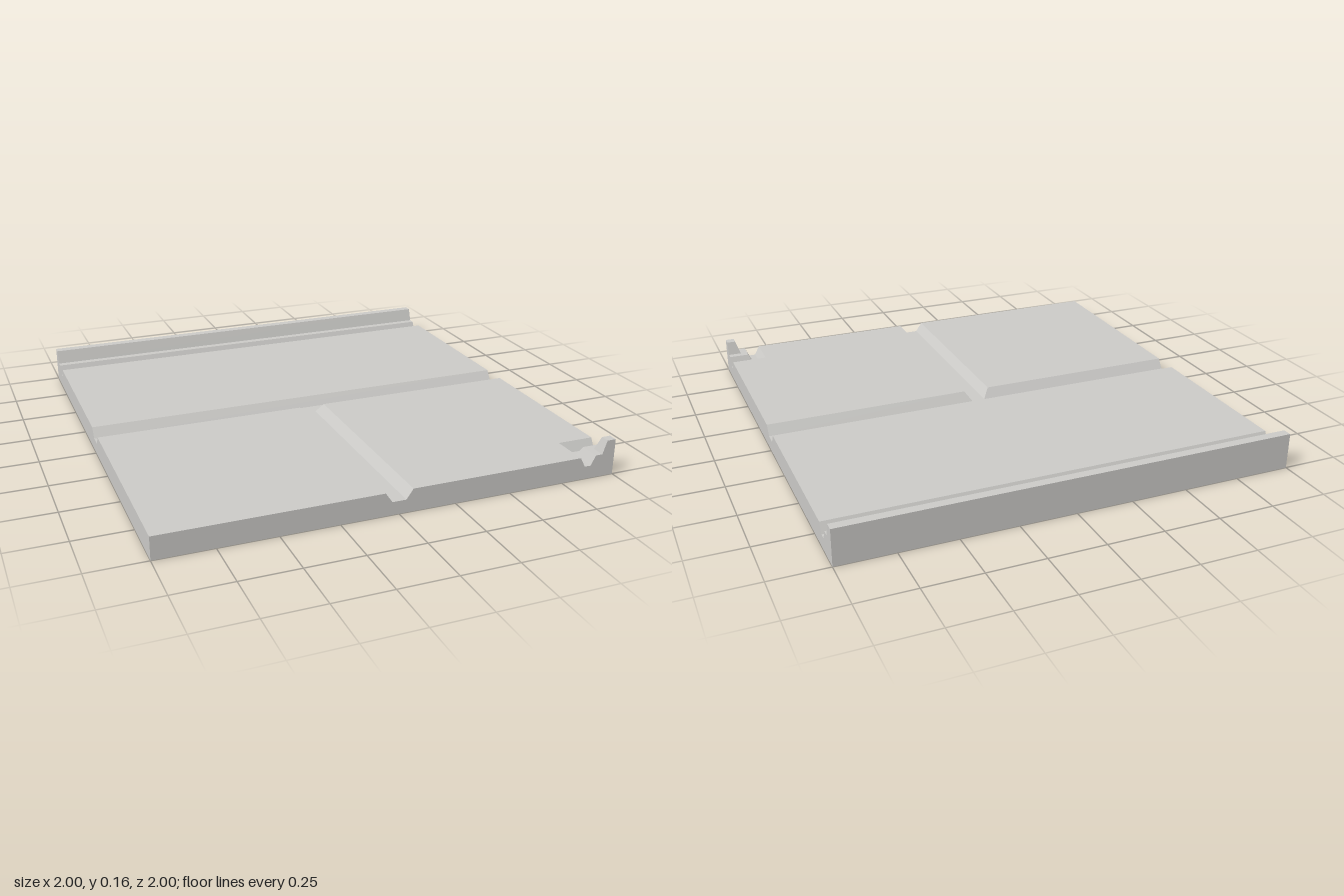
import * as THREE from 'three';

const FLOOR = 0.057, TOP = 0.1, LIP = 0.16;

// Corners of a rectangle in the ground plane, ordered to face up
const rect = (x0, z0, x1, z1) => [[x0, z0], [x0, z1], [x1, z1], [x1, z0]];

// Solid with sloped walls between two outlines of equal point count
function bevelled(low, y0, high, y1) {
  const pos = [];
  const put = (...pts) => pts.forEach(([p, y]) => pos.push(p[0], y, p[1]));
  low.forEach((a, i) => {
    const j = (i + 1) % low.length, b = low[j];
    put([a, y0], [b, y0], [high[j], y1]);
    put([a, y0], [high[j], y1], [high[i], y1]);
  });
  const flat = high.map(p => new THREE.Vector2(p[0], p[1]));
  for (const t of THREE.ShapeUtils.triangulateShape(flat, [])) {
    const [a, b, c] = t.map(i => high[i]);
    const up = (b[1] - a[1]) * (c[0] - a[0]) - (b[0] - a[0]) * (c[1] - a[1]) > 0;
    put([a, y1], [up ? b : c, y1], [up ? c : b, y1]);
  }
  const geo = new THREE.BufferGeometry();
  geo.setAttribute('position', new THREE.Float32BufferAttribute(pos, 3));
  geo.computeVertexNormals();
  return geo;
}

export function createModel() {
  const model = new THREE.Group();
  model.name = 'floorTile';
  const stone = new THREE.MeshStandardMaterial({ color: 0xcccbc8 });
  stone.name = 'paleGreyStone';
  const add = (name, geo) => {
    const mesh = new THREE.Mesh(geo, stone);
    mesh.name = name;
    model.add(mesh);
    return mesh;
  };

  // Base slab, its top is the floor of the grooves
  add('baseSlab', new THREE.BoxGeometry(2, FLOOR, 2)).position.y = FLOOR / 2;

  // Wide slab behind the cross groove
  add('rearPaver', bevelled(rect(-1, -0.858, 1, -0.03), FLOOR, rect(-1, -0.835, 1, -0.06), TOP));

  // Front slabs either side of the short groove
  add('frontRightPaver', bevelled(rect(-1, 0.03, -0.03, 1), FLOOR, rect(-1, 0.06, -0.06, 1), TOP));
  const notched = (edge, cut) => [
    [edge, edge], [edge, 1], [cut, 1], [cut, cut], [1, cut], [1, edge]];
  add('frontLeftPaver', bevelled(notched(0.03, 0.858), FLOOR, notched(0.06, 0.835), TOP));

  // Stepped kerb along the rear edge
  add('rearKerbStep', bevelled(rect(-1, -1, 1, -0.888), FLOOR, rect(-1, -1, 1, -0.908), TOP));
  add('rearKerbLip', bevelled(rect(-1, -1, 1, -0.94), TOP, rect(-1, -1, 1, -0.96), LIP));

  // Matching kerb at the front corner
  add('cornerKerbStep', bevelled(rect(0.888, 0.888, 1, 1), FLOOR, rect(0.908, 0.908, 1, 1), TOP));
  add('cornerKerbLip', bevelled(rect(0.94, 0.94, 1, 1), TOP, rect(0.96, 0.96, 1, 1), LIP));

  return model;
}
